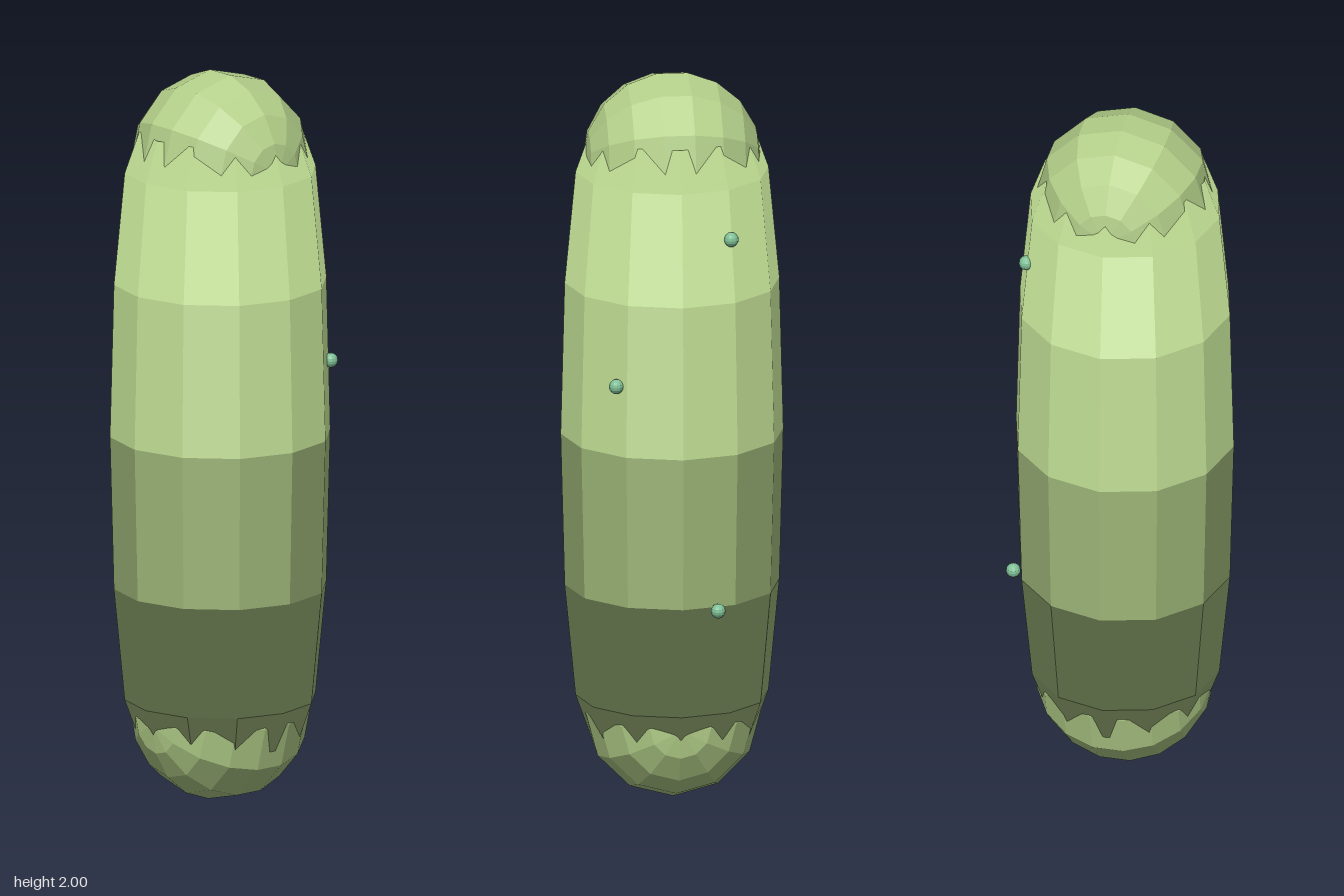
import * as THREE from 'three';

const skin = new THREE.MeshStandardMaterial({ color: 0xb4d08a });
const wart = new THREE.MeshStandardMaterial({ color: 0x7fc096 });

// One normal per facet, for the low-poly look
function faceted(geometry) {
  const g = geometry.toNonIndexed();
  g.computeVertexNormals();
  return g;
}

function addPart(group, name, geometry, material, x, y, z) {
  const mesh = new THREE.Mesh(geometry, material);
  mesh.name = name;
  mesh.position.set(x, y, z);
  group.add(mesh);
  return mesh;
}

export function createModel() {
  const group = new THREE.Group();
  group.name = 'cucumber';

  // Body: a 12-sided ring stretched upward; only the positions are
  // stretched, so the facets keep the rounded shading of the ring
  const body = faceted(new THREE.TorusGeometry(0.22, 0.08, 12, 12).rotateX(Math.PI / 2));
  const pos = body.attributes.position;
  for (let i = 0; i < pos.count; i++) pos.setY(i, pos.getY(i) * 10.5);
  addPart(group, 'body', body, skin, 0, 1.006, 0);

  // Rounded ends: the top one has its poles along x, the bottom one along z
  const end = () => new THREE.SphereGeometry(0.24, 12, 9);
  addPart(group, 'topEnd', faceted(end().rotateZ(Math.PI / 2)), skin, 0, 1.764, 0);
  addPart(group, 'bottomEnd', faceted(end().rotateX(Math.PI / 2)), skin, 0, 0.237, 0);

  // Small warts on the back
  const wartGeometry = faceted(new THREE.SphereGeometry(0.02, 12, 8));
  [[0.175, 1.2, -0.24], [-0.095, 0.58, -0.285], [-0.135, 1.6, -0.24]]
    .forEach((p, i) => addPart(group, `wart${i + 1}`, wartGeometry, wart, ...p));

  return group;
}
